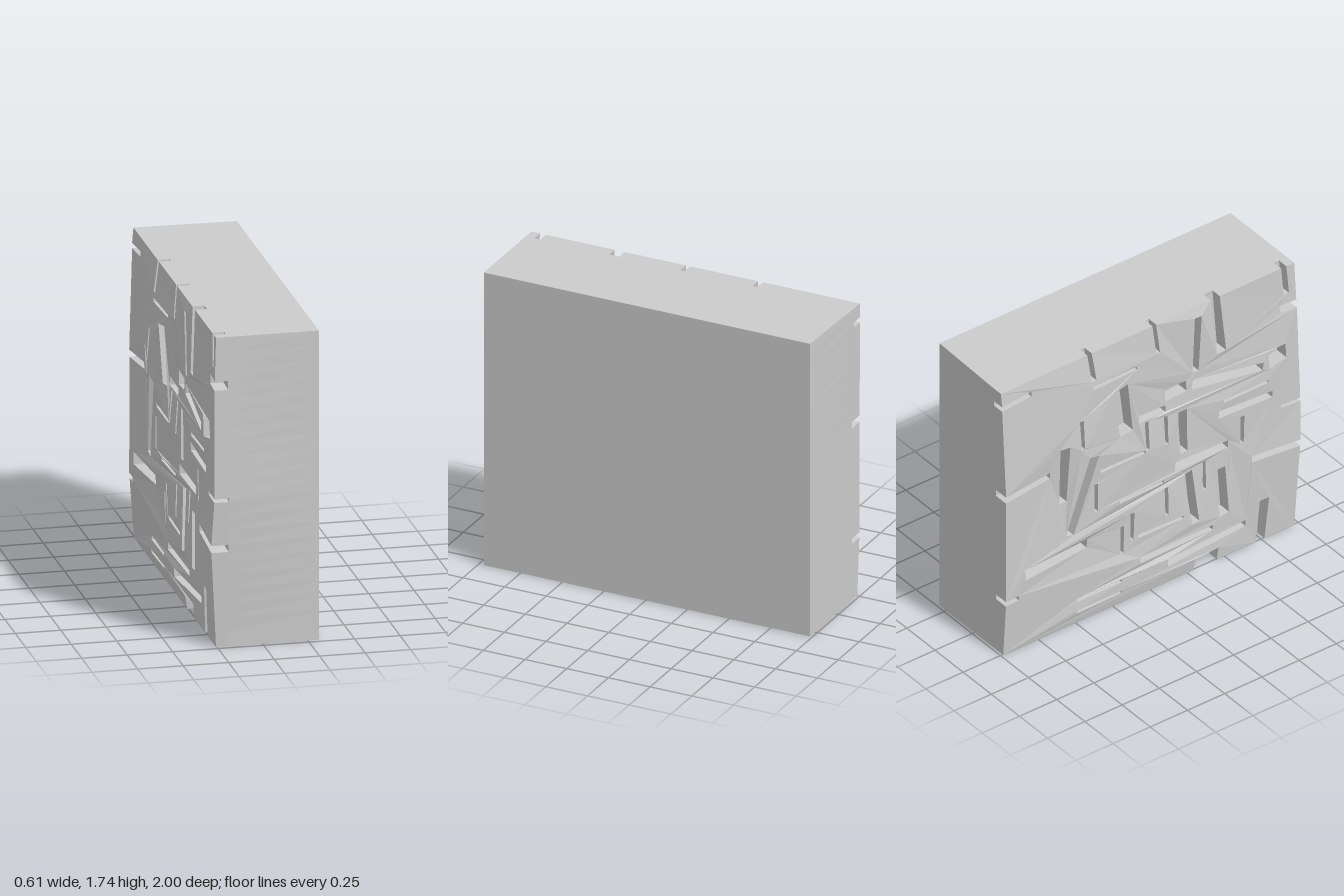
import * as THREE from 'three';

const H = 1.74, BACK = -0.98, FRONT = 0.97, SEAM = -0.19;
const clamp = (v) => THREE.MathUtils.clamp(v, 0, 1);

// Wide grooves on the rough face: start z, y, end z, y, width
const WIDE = [
  // upright
  [-0.22, 1.44, -0.17, 1.12, 0.11], [0.31, 1.68, 0.30, 1.32, 0.05],
  [-0.59, 1.21, -0.59, 0.84, 0.06], [-0.40, 1.08, -0.55, 0.61, 0.07],
  [0.21, 1.10, 0.22, 0.82, 0.06], [0.25, 0.67, 0.29, 0.33, 0.06],
  [0.46, 0.60, 0.49, 0.29, 0.08],
  // level
  [-0.08, 1.17, 0.10, 1.16, 0.05], [0.10, 1.245, 0.24, 1.25, 0.08],
  [0.28, 1.24, 0.74, 1.17, 0.06], [0.45, 0.97, 0.81, 0.95, 0.05],
  [0.78, 1.19, 0.90, 1.20, 0.12], [0.16, 0.75, 0.52, 0.74, 0.06],
  [-0.86, 0.49, -0.43, 0.50, 0.07], [-0.08, 0.24, 0.41, 0.24, 0.04],
  [0.10, 0.15, 0.64, 0.16, 0.05],
];

// Centres (z, y) of the hairline cracks, all of one size per direction
const UPRIGHT_HAIRLINES = [[-0.13, 0.485], [-0.195, 0.42], [-0.375, 0.785], [-0.03, 1.04],
  [0.10, 1.02], [0.61, 0.80], [0.10, 0.55], [0.36, 0.60], [-0.48, 1.255]];
const LEVEL_HAIRLINES = [[-0.25, 1.525], [-0.20, 0.95], [-0.07, 0.69], [-0.35, 0.08],
  [-0.35, 0.155], [0.06, 0.40], [0.63, 1.05]];

const GROOVES = [
  ...WIDE,
  ...UPRIGHT_HAIRLINES.map(([z, y]) => [z, y + 0.09, z, y - 0.09, 0.025]),
  ...LEVEL_HAIRLINES.map(([z, y]) => [z - 0.15, y, z + 0.15, y, 0.022]),
];

// Notches that run in from each edge: position along it, width, length
const NOTCHES = {
  bottom: [[0.37, 0.16, 0.08], [0.74, 0.06, 0.27]],
  front: [[0.555, 0.04, 0.30], [0.83, 0.02, 0.10], [1.47, 0.05, 0.10]],
  top: [[0.9, 0.035, 0.18], [0.44, 0.06, 0.36], [0.03, 0.025, 0.18], [-0.405, 0.03, 0.17]],
  back: [[1.64, 0.03, 0.18], [1.04, 0.04, 0.30], [0.35, 0.03, 0.08]],
};

// Quad around a crack line, slightly narrower at its second end
function grooveCorners([z0, y0, z1, y1, w]) {
  const len = Math.hypot(z1 - z0, y1 - y0);
  const nz = -(y1 - y0) / len * w / 2, ny = (z1 - z0) / len * w / 2, t = 0.8;
  return [[z0 - nz, y0 - ny], [z1 - nz * t, y1 - ny * t], [z1 + nz * t, y1 + ny * t], [z0 + nz, y0 + ny]]
    .map(([z, y]) => new THREE.Vector2(z, y));
}

// Outline of the rough layer, walked round with a leaning notch for every entry
function crustOutline() {
  const pts = [];
  const edge = (list, dir, place) => list.forEach(([at, w, depth]) => {
    const h = dir * w / 2, lean = 0.08 * depth;
    [[at - h, 0], [at - h + lean, depth], [at + h + lean, depth], [at + h, 0]]
      .forEach(([a, d]) => pts.push(new THREE.Vector2(...place(a, d))));
  });
  pts.push(new THREE.Vector2(BACK, 0));
  edge(NOTCHES.bottom, 1, (a, d) => [a, d]);
  pts.push(new THREE.Vector2(FRONT, 0));
  edge(NOTCHES.front, 1, (a, d) => [FRONT - d, a]);
  pts.push(new THREE.Vector2(FRONT, H));
  edge(NOTCHES.top, -1, (a, d) => [a, H - d]);
  pts.push(new THREE.Vector2(BACK, H));
  edge(NOTCHES.back, -1, (a, d) => [BACK + d, a]);
  return pts;
}

// Outer x of the rough face: gentle waves and one swelling, thinner at the rim
function faceX(z, y) {
  const rim = clamp(Math.min(y, H - y) / 0.1);
  const waves = 0.008 * Math.sin(7 * z + 3 * y) + 0.007 * Math.sin(9 * y - 4 * z);
  const swell = 0.035 * Math.exp(-((z + 0.48) ** 2 + (y - 1.1) ** 2) / 0.025);
  return -0.255 - rim * (0.017 + waves + swell);
}

// Bow the two narrow sides outwards, fading towards the flat face
function bowSides(geometry) {
  const p = geometry.attributes.position;
  for (let i = 0; i < p.count; i++) {
    const x = p.getX(i), y = p.getY(i), z = p.getZ(i);
    const fade = clamp((0.31 - x) / 0.5);
    const peak = y < 0.83 ? clamp((y - 0.1) / 0.73) : clamp((H - y) / 0.91);
    if (z > FRONT - 0.001) p.setZ(i, z + 0.03 * peak * fade);
    if (z < BACK + 0.001) p.setZ(i, z - 0.005 - 0.015 * clamp((y - 1.05) / 0.69) * fade);
  }
  geometry.computeVertexNormals();
  return geometry;
}

// Extrude a z-y shape towards -x from the seam
function extrudeOut(shape, depth) {
  return new THREE.ExtrudeGeometry(shape, { depth, bevelEnabled: false })
    .rotateY(-Math.PI / 2).translate(SEAM, 0, 0);
}

export function createModel() {
  const group = new THREE.Group();
  const material = new THREE.MeshStandardMaterial({ color: 0xcccccc, flatShading: true });
  const add = (name, geometry) => {
    const mesh = new THREE.Mesh(geometry, material);
    mesh.name = name;
    group.add(mesh);
  };

  // Solid block behind the rough face
  const block = new THREE.BoxGeometry(0.31 - SEAM, H, FRONT - BACK, 1, 21, 1).toNonIndexed();
  block.translate((0.31 + SEAM) / 2, H / 2, (FRONT + BACK) / 2);
  add('stoneBlock', bowSides(block));

  // Cracked layer on the -x side
  const shape = new THREE.Shape(crustOutline());
  GROOVES.forEach((g) => shape.holes.push(new THREE.Path(grooveCorners(g))));
  const crust = extrudeOut(shape, 0.07);
  const p = crust.attributes.position;
  for (let i = 0; i < p.count; i++) {
    if (p.getX(i) < SEAM - 0.01) p.setX(i, faceX(p.getZ(i), p.getY(i)));
  }
  add('crackedFace', bowSides(crust));

  // Raised floors make the finer cracks shallower
  GROOVES.filter((g) => g[4] <= 0.05).forEach((g) => {
    add('crackFloor', extrudeOut(new THREE.Shape(grooveCorners(g)), g[4] < 0.04 ? 0.045 : 0.025));
  });
  return group;
}
